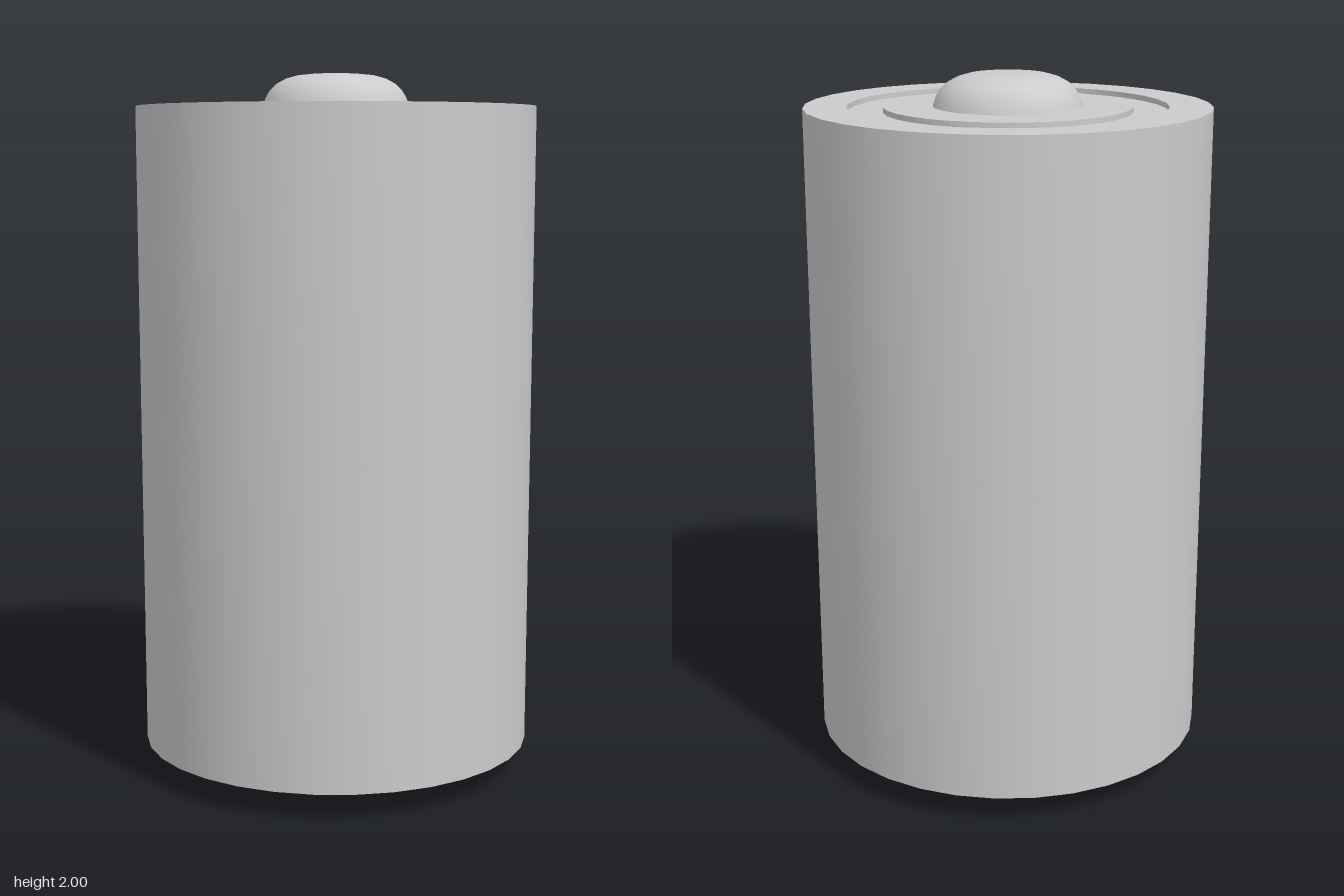
import * as THREE from 'three';
import { toCreasedNormals } from 'three/addons/utils/BufferGeometryUtils.js';

const SIDES = 32;
const material = new THREE.MeshStandardMaterial({ color: 0xcccccc });

// Revolve a bottom-to-top [radius, height] profile, keeping sharp corners crisp
function turned(name, profile) {
  const points = profile.map(([r, y]) => new THREE.Vector2(r, y));
  const geometry = toCreasedNormals(new THREE.LatheGeometry(points, SIDES), 0.7);
  const mesh = new THREE.Mesh(geometry, material);
  mesh.name = name;
  return mesh;
}

export function createModel() {
  const group = new THREE.Group();
  group.name = 'batteryCell';

  // Slightly tapered sleeve with a flat bottom lip and a shallow groove in the top
  group.add(turned('casing', [
    [0.43, 0.08], [0.558, 0.08], [0.565, 1.91],
    [0.445, 1.91], [0.445, 1.895], [0.345, 1.895],
  ]));

  // Raised disc inside the groove
  group.add(turned('topDisc', [[0.345, 1.895], [0.345, 1.91], [0.2, 1.91]]));

  // Rounded button contact
  group.add(turned('positiveTerminal', [
    [0.208, 1.91], [0.2, 1.933], [0.187, 1.955], [0.168, 1.973],
    [0.142, 1.987], [0.11, 1.996], [0.07, 2], [0, 2],
  ]));

  // Bulging bottom contact
  group.add(turned('negativeTerminal', [
    [0, 0.004], [0.12, 0.006], [0.22, 0.011], [0.3, 0.018], [0.35, 0.027],
    [0.385, 0.04], [0.41, 0.057], [0.435, 0.081],
  ]));

  return group;
}
